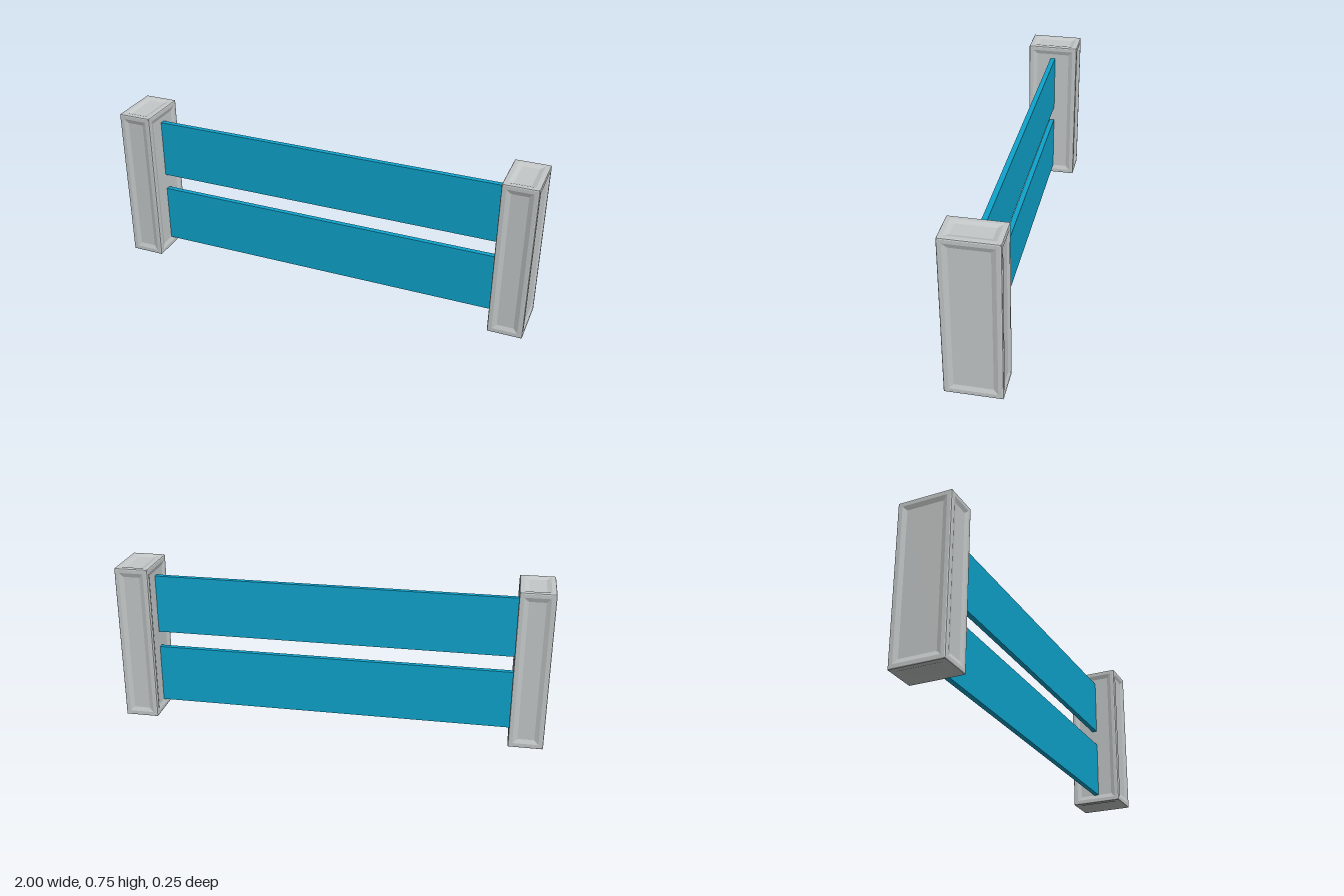
import * as THREE from 'three';

const grey = new THREE.MeshStandardMaterial({ color: 0xc4c8c8 });
grey.name = 'light grey';
const blue = new THREE.MeshStandardMaterial({ color: 0x0fa3cc });
blue.name = 'blue';

// Box with chamfered edges and a shallow recessed panel in every face
function panelledBox(w, h, d) {
  const half = [w / 2, h / 2, d / 2];
  // [inset from the edge, depth below the face], from the edge to the panel
  const rings = [[0.002, 0.002], [0.006, 0], [0.022, 0], [0.042, 0.007]];
  const positions = [];
  const quad = (a, b, c, e) => positions.push(...a, ...b, ...c, ...a, ...c, ...e);
  for (let axis = 0; axis < 3; axis++) {
    const u = (axis + 1) % 3, v = (axis + 2) % 3;
    for (const sign of [1, -1]) {
      const loops = rings.map(([inset, depth]) =>
        [[-1, -1], [1, -1], [1, 1], [-1, 1]].map(([su, sv]) => {
          const p = [0, 0, 0];
          p[axis] = sign * (half[axis] - depth);
          p[u] = sign * su * (half[u] - inset);
          p[v] = sv * (half[v] - inset);
          return p;
        }));
      for (let r = 0; r < loops.length - 1; r++) {
        for (let i = 0; i < 4; i++) {
          const j = (i + 1) % 4;
          quad(loops[r][i], loops[r][j], loops[r + 1][j], loops[r + 1][i]);
        }
      }
      quad(...loops[loops.length - 1]);
    }
  }
  const geometry = new THREE.BufferGeometry();
  geometry.setAttribute('position', new THREE.Float32BufferAttribute(positions, 3));
  geometry.computeVertexNormals();
  return geometry;
}

export function createModel() {
  const model = new THREE.Group();
  model.name = 'barrier';
  const add = (name, geometry, material, x, y) => {
    const mesh = new THREE.Mesh(geometry, material);
    mesh.name = name;
    mesh.position.set(x, y, 0);
    model.add(mesh);
  };

  // Upright posts at both ends
  const post = panelledBox(0.16, 0.75, 0.25);
  add('leftPost', post, grey, 0.92, 0.375);
  add('rightPost', post, grey, -0.92, 0.375);

  // Two planks whose ends sit in the post panels
  const plank = new THREE.BoxGeometry(1.7, 0.282, 0.024);
  add('lowerPlank', plank, blue, 0, 0.183);
  add('upperPlank', plank, blue, 0, 0.543);

  return model;
}
